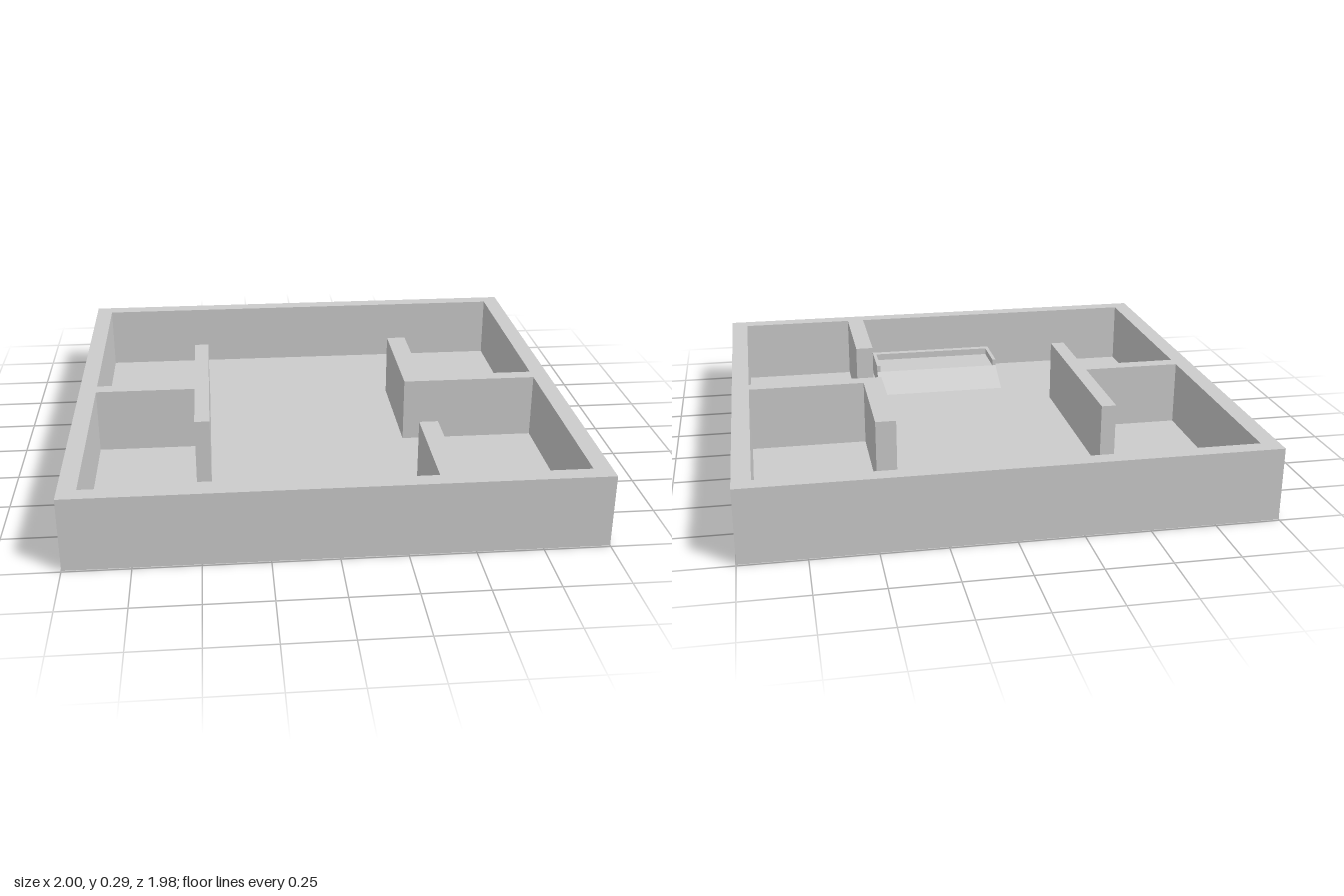
import * as THREE from 'three';

const FLOOR = 0.02;   // floor slab thickness
const TOP = 0.287;    // wall height

const material = new THREE.MeshStandardMaterial({ color: 0xcccccc, flatShading: true });

function named(name, geometry) {
  const mesh = new THREE.Mesh(geometry, material);
  mesh.name = name;
  return mesh;
}

// Plan points are [x, z]; the plan is raised from y = bottom to y = top.
const planPoints = (points) => points.map(([x, z]) => new THREE.Vector2(x, -z));

function raisePlan(outline, holes, bottom, top) {
  const shape = new THREE.Shape(planPoints(outline));
  for (const hole of holes) shape.holes.push(new THREE.Path(planPoints(hole)));
  const geometry = new THREE.ExtrudeGeometry(shape, { depth: top - bottom, bevelEnabled: false });
  return geometry.rotateX(-Math.PI / 2).translate(0, bottom, 0);
}

export function createModel() {
  const model = new THREE.Group();
  model.name = 'floorPlan';
  const W = 1, D = 0.992;

  // Floor slab
  model.add(named('floor', new THREE.BoxGeometry(2 * W, FLOOR, 2 * D).translate(0, FLOOR / 2, 0)));

  // Outer walls and partitions, cut by the single connected room outline
  // (outer loop counter-clockwise from above, so the room faces point inward)
  const outer = [[-W, D], [W, D], [W, -D], [-W, -D]];
  const rooms = [
    [-0.93, -0.927], [0.93, -0.927],
    // right partition
    [0.93, 0], [0.452, 0], [0.452, -0.46], [0.37, -0.46], [0.37, 0.062], [0.93, 0.062],
    // front stub wall
    [0.93, 0.925], [0.44, 0.925], [0.44, 0.47], [0.365, 0.47], [0.365, 0.925],
    // left partition
    [-0.93, 0.925], [-0.93, 0.062], [-0.52, 0.062], [-0.52, 0.393],
    [-0.46, 0.393], [-0.46, -0.45], [-0.52, -0.45], [-0.52, 0], [-0.93, 0],
  ];
  model.add(named('walls', raisePlan(outer, [rooms], FLOOR, TOP)));

  // Raised platform with a sloping ramp, drawn as a (z, y) side profile
  const platform = new THREE.Group();
  platform.name = 'rampPlatform';
  const x0 = -0.26, x1 = 0.324, front = 0.698, back = 0.909, deck = 0.09, rimWidth = 0.016;
  const profile = new THREE.Shape([
    new THREE.Vector2(0.56, FLOOR), new THREE.Vector2(back, FLOOR),
    new THREE.Vector2(back, deck), new THREE.Vector2(front, deck),
  ]);
  const base = new THREE.ExtrudeGeometry(profile, { depth: x1 - x0, bevelEnabled: false });
  platform.add(named('ramp', base.rotateY(-Math.PI / 2).translate(x1, 0, 0)));

  // Low rim around the sides and back of the platform
  const rim = [
    [x0, front], [x0 + rimWidth, front], [x0 + rimWidth, 0.878], [x1 - rimWidth, 0.878],
    [x1 - rimWidth, front], [x1, front], [x1, back], [x0, back],
  ];
  platform.add(named('rim', raisePlan(rim, [], deck, 0.12)));
  model.add(platform);

  return model;
}
